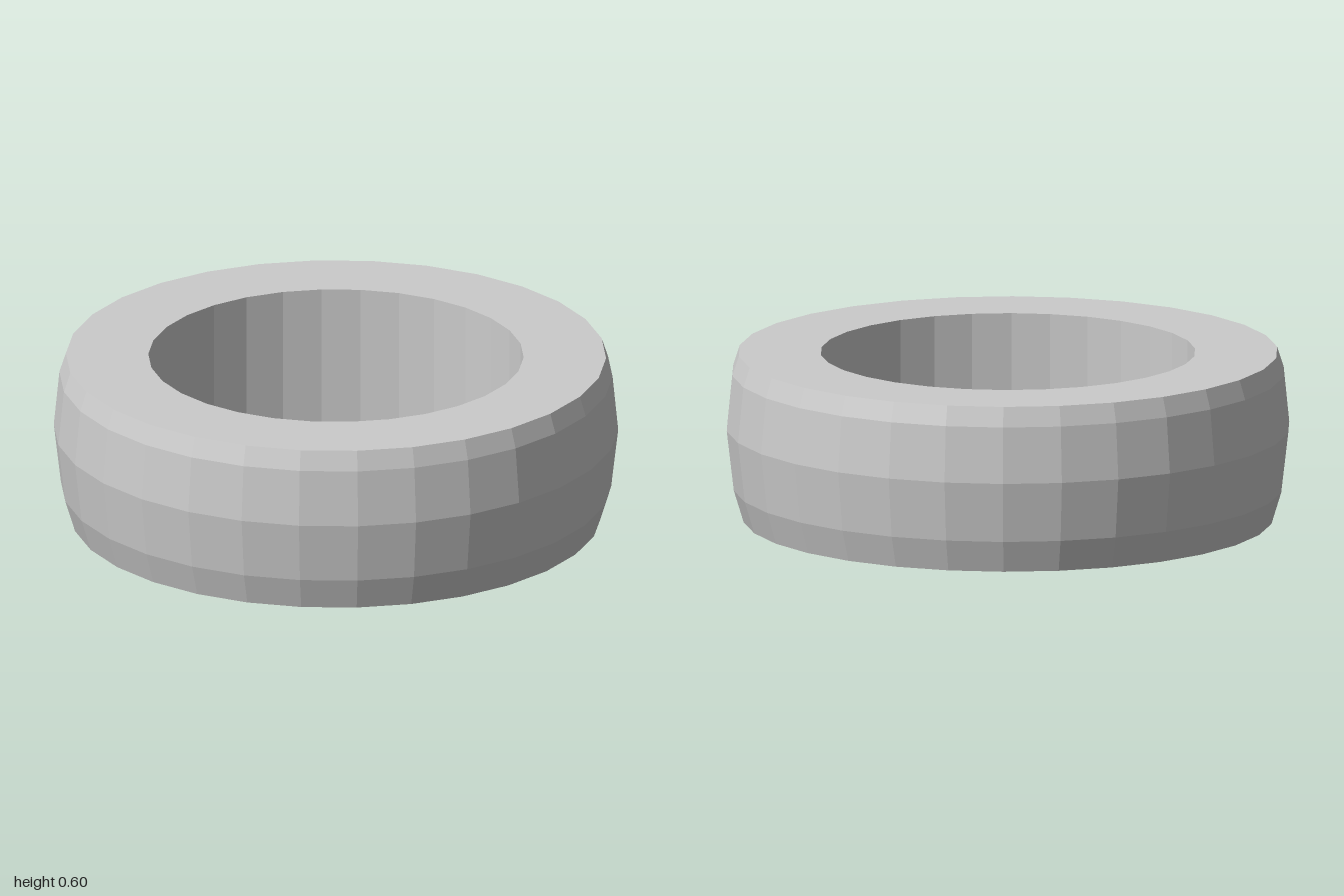
import * as THREE from 'three';

const SIDES = 30;
const STEP = (Math.PI * 2) / SIDES;
const BORE = 0.665;
const LIP_INNER = 0.465;
const LIP_HEIGHT = 0.095;

// Quarter of the 30-sided polygon, ending flat on the x = 0 plane
function quarterArc(r) {
  const pts = [];
  for (let i = 0; i <= 7; i++) pts.push(new THREE.Vector2(r * Math.cos(i * STEP), r * Math.sin(i * STEP)));
  pts.push(new THREE.Vector2(0, r * Math.cos(STEP / 2)));
  return pts;
}

export function createModel() {
  const group = new THREE.Group();
  group.name = 'lockingRing';
  const material = new THREE.MeshStandardMaterial({ color: 0xcccccc, flatShading: true });

  // Barrel-shaped ring with a straight bore
  const profile = [
    [BORE, 0], [0.94, 0], [0.975, 0.115], [1, 0.33], [0.98, 0.53], [0.957, 0.6], [BORE, 0.6], [BORE, 0],
  ].map(([r, y]) => new THREE.Vector2(r, y));
  const ring = new THREE.Mesh(new THREE.LatheGeometry(profile, SIDES, Math.PI / 2), material);
  ring.name = 'ringBody';
  group.add(ring);

  // Two opposite quarter lips inside the bottom of the bore
  const shape = new THREE.Shape([...quarterArc(BORE), ...quarterArc(LIP_INNER).reverse()]);
  const lipGeometry = new THREE.ExtrudeGeometry(shape, { depth: LIP_HEIGHT, bevelEnabled: false });
  lipGeometry.rotateX(Math.PI / 2).translate(0, LIP_HEIGHT, 0);
  ['frontLip', 'backLip'].forEach((name, i) => {
    const lip = new THREE.Mesh(lipGeometry, material);
    lip.name = name;
    lip.rotation.y = i * Math.PI;
    group.add(lip);
  });

  return group;
}
